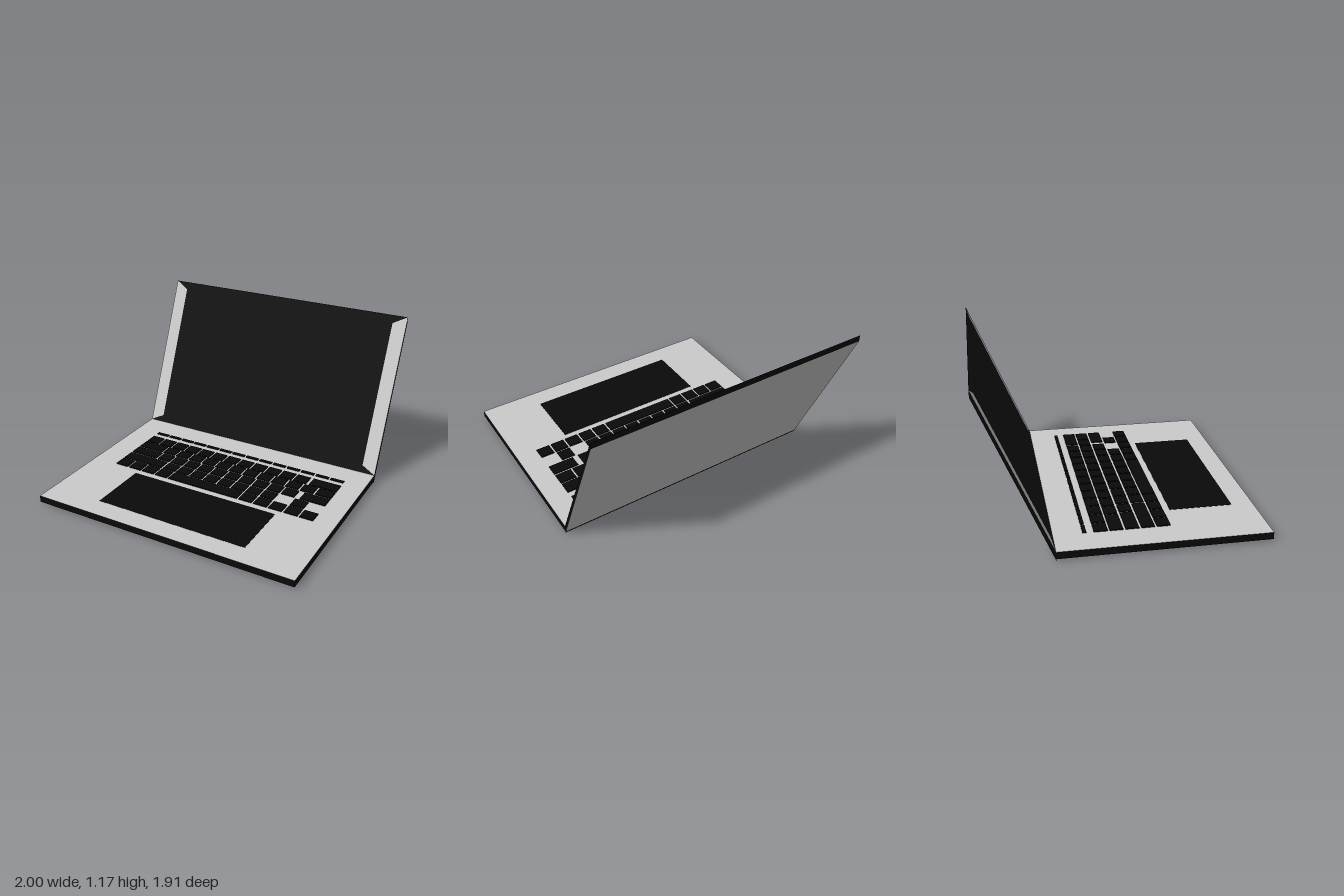
import * as THREE from 'three';

const grey = new THREE.MeshStandardMaterial({ color: 0xcccccc });
const black = new THREE.MeshStandardMaterial({ color: 0x0a0a0a });
const glass = new THREE.MeshStandardMaterial({ color: 0x141414 });

const DECK = 0.062; // height of the deck surface

function add(parent, name, geometry, material) {
  const mesh = new THREE.Mesh(geometry, material);
  mesh.name = name;
  parent.add(mesh);
  return mesh;
}

// Flat polygon from corners listed counter-clockwise
function panel(parent, name, corners, material) {
  const geometry = new THREE.BufferGeometry();
  geometry.setAttribute('position', new THREE.Float32BufferAttribute(corners.flat(), 3));
  const index = [];
  for (let i = 1; i < corners.length - 1; i++) index.push(0, i, i + 1);
  geometry.setIndex(index);
  geometry.computeVertexNormals();
  return add(parent, name, geometry, material);
}

// Box lying on the deck between x0..x1 and z0..z1
function slab(parent, name, x0, x1, z0, z1, height) {
  const geometry = new THREE.BoxGeometry(x1 - x0, height, z1 - z0);
  geometry.translate((x0 + x1) / 2, DECK + height / 2, (z0 + z1) / 2);
  return add(parent, name, geometry, black);
}

function createBase() {
  const base = new THREE.Group();
  base.name = 'base';
  const body = new THREE.BoxGeometry(2, DECK - 0.012, 1.435);
  body.translate(0, (DECK + 0.012) / 2, 0.2355);
  add(base, 'baseBody', body, [black, black, grey, grey, black, black]);
  slab(base, 'trackpad', -0.585, 0.578, 0.355, 0.8, 0.002);
  return base;
}

function createKeyboard() {
  const keyboard = new THREE.Group();
  keyboard.name = 'keyboard';
  const pitch = 0.1178, width = 0.102, left = -0.797, right = 0.84;
  // Per row: z range, runs of standard keys [start, count], wide keys [x0, x1]
  const rows = [
    { z: [-0.285, -0.26], runs: [[left, 14]], wide: [] },
    { z: [-0.21, -0.117], runs: [[left, 12]], wide: [[0.626, right]] },
    { z: [-0.104, -0.013], runs: [[-0.578, 11]], wide: [[left, -0.594], [0.718, right]] },
    { z: [0.003, 0.094], runs: [[-0.56, 10]], wide: [[left, -0.577], [0.647, right]] },
    { z: [0.11, 0.2], runs: [[-0.442, 8], [0.62, 1]], wide: [[left, -0.462]] },
    { z: [0.214, 0.307], runs: [[left, 4], [0.267, 5]], wide: [[-0.326, 0.251]] },
  ];
  for (const { z, runs, wide } of rows) {
    for (const [start, count] of runs)
      for (let i = 0; i < count; i++) {
        const x = start + i * pitch;
        slab(keyboard, 'key', x, x + width, z[0], z[1], 0.008);
      }
    for (const [x0, x1] of wide) slab(keyboard, 'wideKey', x0, x1, z[0], z[1], 0.008);
  }
  return keyboard;
}

function createLid() {
  const lid = new THREE.Group();
  lid.name = 'lid';
  // Side profile as [y, z]: front bottom, front top, back top, back bottom, hinge
  const profile = [[DECK, -0.482], [1.166, -0.953], [1.12, -0.953], [0.015, -0.487], [0, -0.482]];
  const at = (x, [y, z]) => [x, y, z];
  const strips = [null, ['lidTopEdge', black], ['lidBack', grey], ['hingeEdge', black], ['hingeFront', black]];
  strips.forEach((strip, i) => {
    if (!strip) return;
    const p = profile[i], q = profile[(i + 1) % profile.length];
    panel(lid, strip[0], [at(-1, p), at(1, p), at(1, q), at(-1, q)], strip[1]);
  });
  panel(lid, 'lidRightEdge', profile.map((p) => at(-1, p)), black);
  panel(lid, 'lidLeftEdge', profile.map((p) => at(1, p)).reverse(), black);

  // Mitred bezel around the screen, all on the front plane
  const [bottom, top] = profile;
  const front = (x, t) => [x, bottom[0] + (top[0] - bottom[0]) * t, bottom[1] + (top[1] - bottom[1]) * t];
  const outer = [front(-1, 0), front(1, 0), front(1, 1), front(-1, 1)];
  const inner = [front(-0.895, 0.045), front(0.895, 0.045), front(0.895, 0.95), front(-0.895, 0.95)];
  ['bezelBottom', 'bezelLeft', 'bezelTop', 'bezelRight'].forEach((name, i) => {
    const j = (i + 1) % 4;
    panel(lid, name, [outer[i], outer[j], inner[j], inner[i]], i % 2 ? grey : glass);
  });
  panel(lid, 'screen', inner, glass);
  return lid;
}

export function createModel() {
  const laptop = new THREE.Group();
  laptop.name = 'laptop';
  laptop.add(createBase(), createKeyboard(), createLid());
  return laptop;
}
